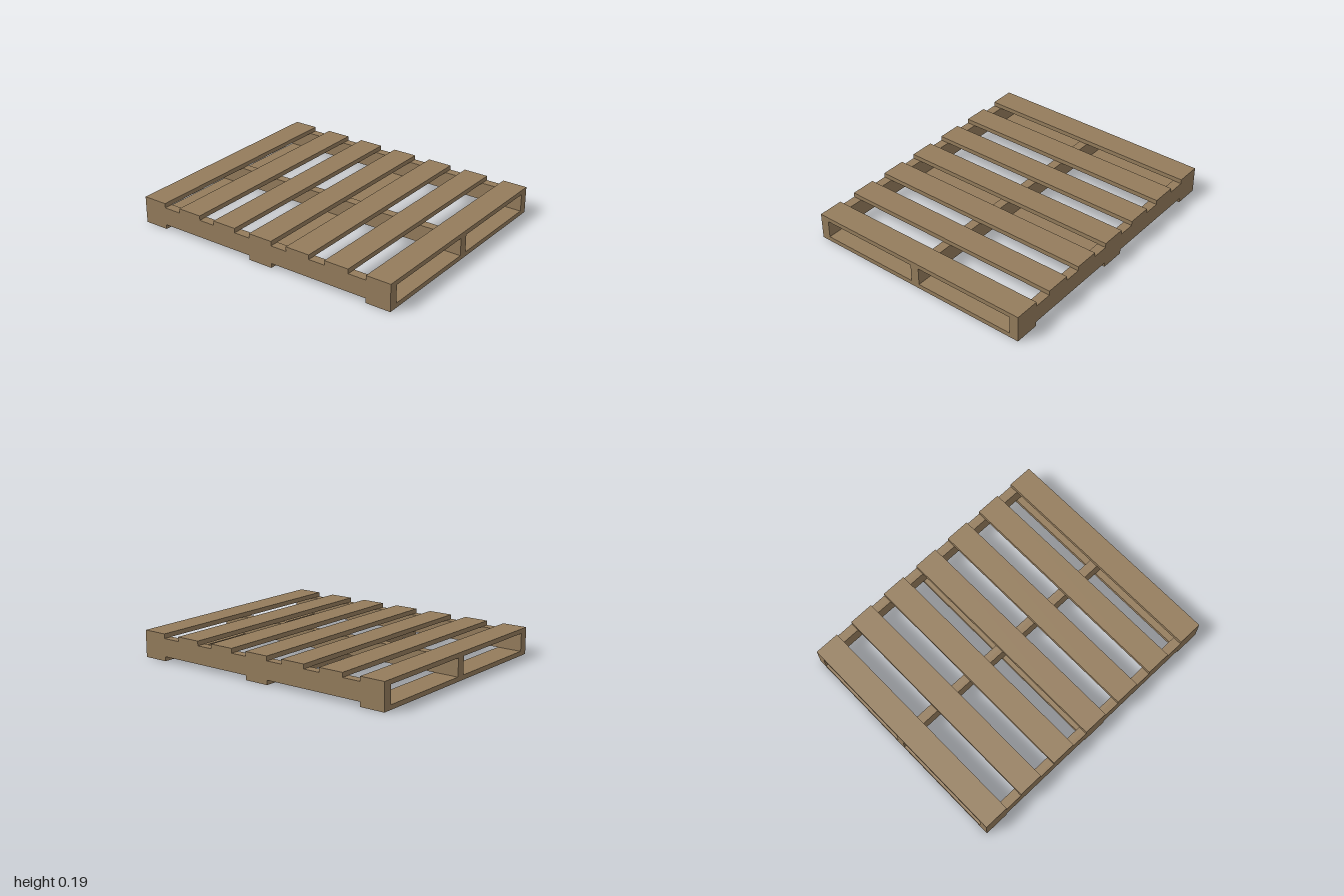
import * as THREE from 'three';

export function createModel() {
  const pallet = new THREE.Group();
  pallet.name = 'pallet';

  const wood = new THREE.MeshStandardMaterial({ color: 0x947c5c });
  wood.name = 'wood';

  const height = 0.19, board = 0.032, width = 0.18, depth = 1.66, stringer = 0.064;

  function plank(name, w, h, d, x, y, z) {
    const mesh = new THREE.Mesh(new THREE.BoxGeometry(w, h, d), wood);
    mesh.name = name;
    mesh.position.set(x, y, z);
    pallet.add(mesh);
  }

  // Seven deck boards running front to back
  for (const x of [-0.91, -0.6, -0.3, 0, 0.3, 0.6, 0.91]) {
    plank('deckBoard', width, board, depth, x, height - board / 2, 0);
  }

  // Three upright stringers running side to side
  for (const side of [-1, 0, 1]) {
    plank('stringer', 2, height - 2 * board, stringer, 0, height / 2, side * (depth - stringer) / 2);
  }

  // Three bottom boards under the stringers
  for (const x of [-0.91, 0, 0.91]) {
    plank('bottomBoard', width, board, depth, x, board / 2, 0);
  }

  return pallet;
}
